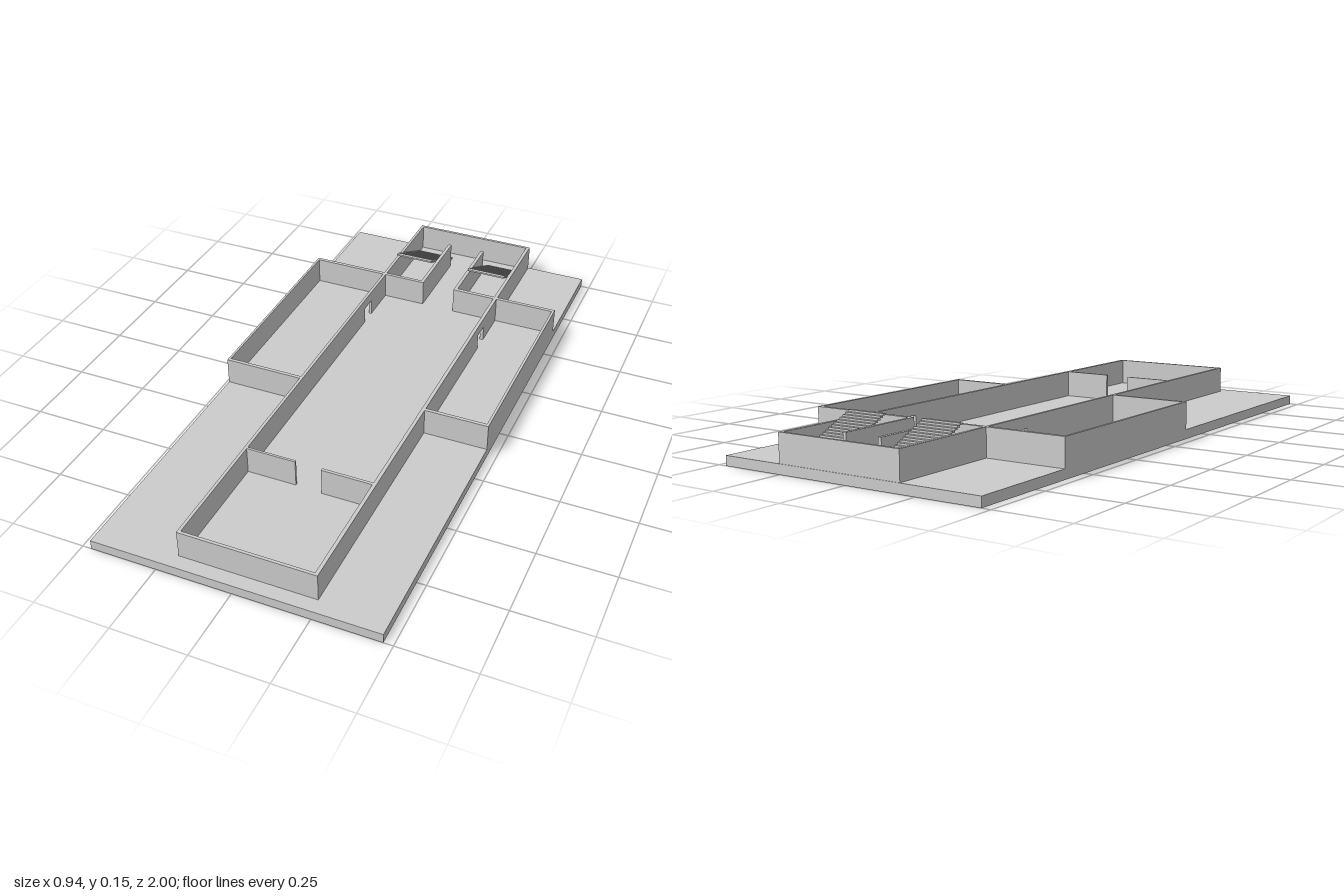
import * as THREE from 'three';

const FLOOR = 0.032, TOP = 0.125;

export function createModel() {
  const model = new THREE.Group();
  model.name = 'floorPlanModel';
  const material = new THREE.MeshStandardMaterial({ color: 0xcccccc, flatShading: true });

  // Box given by its extents
  function block(name, x0, x1, z0, z1, y0 = FLOOR, y1 = TOP, parent = model) {
    const mesh = new THREE.Mesh(new THREE.BoxGeometry(x1 - x0, y1 - y0, z1 - z0), material);
    mesh.position.set((x0 + x1) / 2, (y0 + y1) / 2, (z0 + z1) / 2);
    mesh.name = name;
    parent.add(mesh);
  }

  block('baseSlab', -0.47, 0.47, -1, 1, 0, FLOOR);

  // Long hall walls, each with a doorway into its side room
  const doorBack = -0.455, doorFront = -0.395, doorTop = 0.088;
  for (const [side, x0, x1] of [['right', -0.197, -0.187], ['left', 0.24, 0.252]]) {
    const hall = new THREE.Group();
    hall.name = side + 'HallWall';
    block('wallBehindDoor', x0, x1, -0.998, doorBack, FLOOR, TOP, hall);
    block('wallBeforeDoor', x0, x1, doorFront, 0.952, FLOOR, TOP, hall);
    block('doorLintel', x0, x1, doorBack, doorFront, doorTop, TOP, hall);
    model.add(hall);
  }

  // End walls of the hall
  block('backWall', -0.187, 0.24, -0.998, -0.988);
  block('frontWall', -0.187, 0.24, 0.942, 0.952);

  // Side rooms
  for (const [side, x0, x1, o0, o1] of [
    ['right', -0.462, -0.197, -0.47, -0.462],
    ['left', 0.252, 0.461, 0.461, 0.47],
  ]) {
    block(side + 'RoomOuterWall', o0, o1, -0.605, 0.134);
    block(side + 'RoomBackWall', x0, x1, -0.605, -0.592);
    block(side + 'RoomFrontWall', x0, x1, 0.122, 0.134);
  }

  // Front partitions with an opening between them
  block('rightFrontPartition', -0.187, -0.02, 0.526, 0.534);
  block('leftFrontPartition', 0.07, 0.24, 0.528, 0.538);

  // Stairwell partitions and corridor walls
  block('rightStairPartition', -0.187, -0.035, -0.605, -0.593);
  block('leftStairPartition', 0.085, 0.24, -0.605, -0.591);
  block('rightCorridorWall', -0.047, -0.035, -0.897, -0.605);
  block('leftCorridorWall', 0.085, 0.097, -0.897, -0.605);

  // Two open flights rising toward the front
  const steps = 20, stairBottom = -0.95, stairTop = -0.705;
  const run = (stairTop - stairBottom) / steps, rise = (0.152 - FLOOR) / steps;
  for (const [side, x0, x1] of [['right', -0.187, -0.047], ['left', 0.1, 0.24]]) {
    const stair = new THREE.Group();
    stair.name = side + 'Staircase';
    for (let i = 0; i < steps; i++) {
      const z = stairBottom + i * run, y = FLOOR + i * rise;
      block('step', x0, x1, z, z + run, y, y + rise, stair);
    }
    model.add(stair);
  }
  return model;
}
